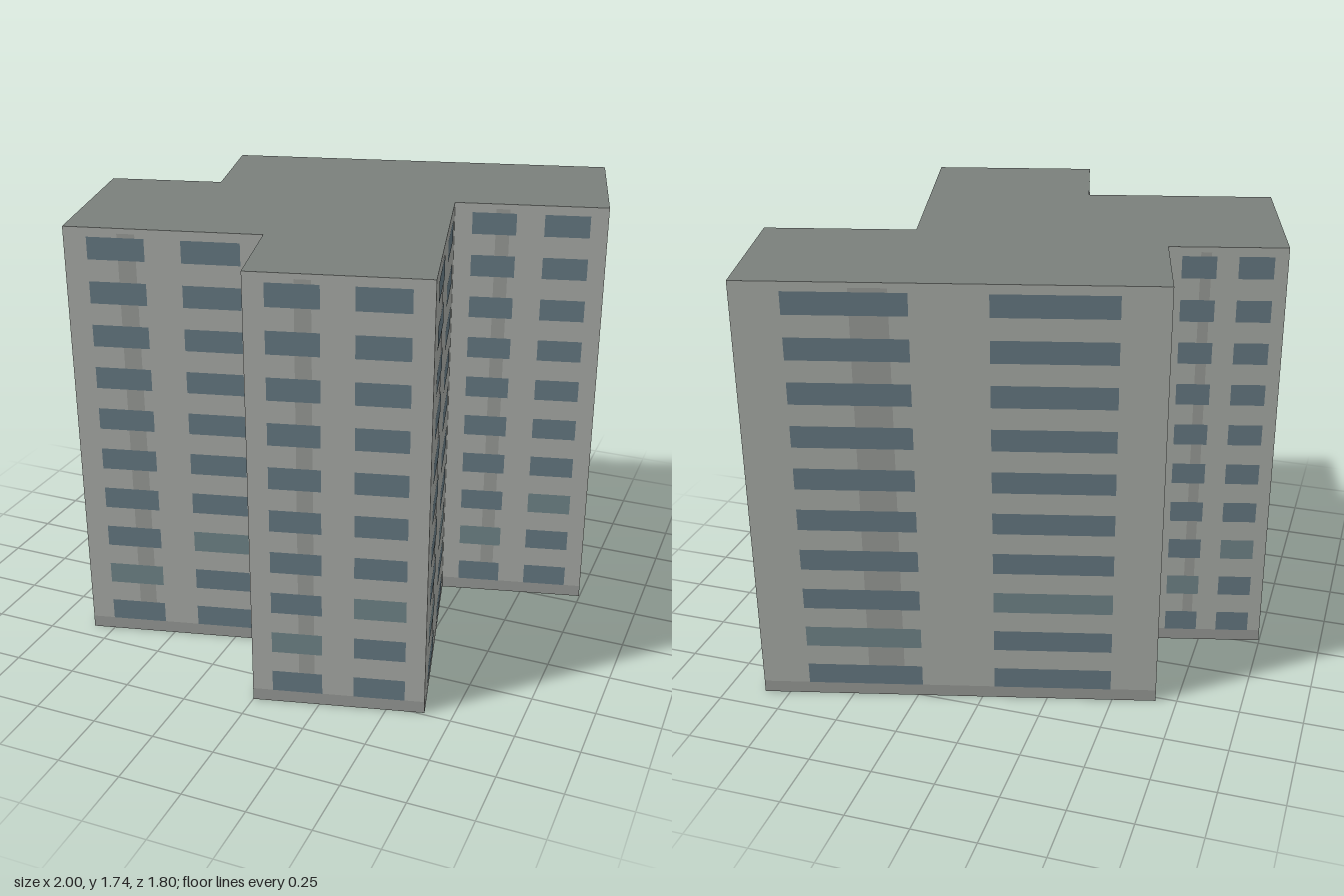
import * as THREE from 'three';
import { mergeGeometries } from 'three/addons/utils/BufferGeometryUtils.js';

const HEIGHT = 1.74, FLOORS = 10, FLOOR_STEP = 0.174, PLINTH = 0.05;

// Footprint corners [x, z], each wall running left to right as seen from outside
const FOOTPRINT = [
  [-0.834, 0.68], [-0.1, 0.5], [0, 0.898], [0.642, 0.738], [0.42, -0.16],
  [0.997, -0.305], [0.848, -0.904], [-0.668, -0.521], [-0.559, -0.088], [-0.997, 0.024],
];

const paint = (color, side = THREE.FrontSide) => new THREE.MeshStandardMaterial({ color, side });
const wallMat = paint(0xaaada8, THREE.DoubleSide);
const roofMat = paint(0x7a807c, THREE.DoubleSide);
const plinthMat = paint(0x999b98);
const stripMat = paint(0x9a9d99);
const glassMat = paint(0x667a83);
const paleGlassMat = paint(0x71868a);

// Flat panel on a wall, from x0..x1 and y0..y1, lifted off the surface by z
function panel(x0, x1, y0, y1, z) {
  return new THREE.PlaneGeometry(x1 - x0, y1 - y0).translate((x0 + x1) / 2, (y0 + y1) / 2, z);
}

function addMesh(parent, name, geometry, material) {
  const mesh = new THREE.Mesh(geometry, material);
  mesh.name = name;
  parent.add(mesh);
}

function createFacade([px, pz], [qx, qz]) {
  const facade = new THREE.Group();
  facade.name = 'facade';
  const length = Math.hypot(qx - px, qz - pz);
  facade.position.set(px, 0, pz);
  facade.rotation.y = Math.atan2(pz - qz, qx - px);

  addMesh(facade, 'wall', panel(0, length, 0, HEIGHT, 0), wallMat);
  addMesh(facade, 'plinth', panel(0, length, 0, PLINTH, 0.001), plinthMat);

  // Narrow walls carry one column of windows, the others two
  const narrow = length < 0.43;
  const columns = narrow ? [[0.23, 0.78]] : [[0.117, 0.407], [0.59, 0.885]];
  const [s0, s1] = narrow ? [0.55, 0.73] : [0.272, 0.362];
  addMesh(facade, 'verticalStrip', panel(s0 * length, s1 * length, PLINTH, 1.72, 0.001), stripMat);

  // Windows, a few of them with paler glass
  const glass = [], paleGlass = [];
  for (let floor = 0; floor < FLOORS; floor++) {
    const y = PLINTH + floor * FLOOR_STEP;
    columns.forEach(([u0, u1], column) => {
      const pale = floor === column + 1;
      (pale ? paleGlass : glass).push(panel(u0 * length, u1 * length, y, y + 0.088, 0.002));
    });
  }
  addMesh(facade, 'windows', mergeGeometries(glass), glassMat);
  addMesh(facade, 'paleWindows', mergeGeometries(paleGlass), paleGlassMat);
  return facade;
}

export function createModel() {
  const building = new THREE.Group();
  building.name = 'apartmentBlock';

  // Walls around the footprint, open underneath
  FOOTPRINT.forEach((corner, i) => {
    building.add(createFacade(corner, FOOTPRINT[(i + 1) % FOOTPRINT.length]));
  });

  // Flat roof
  const outline = new THREE.Shape(FOOTPRINT.map(([x, z]) => new THREE.Vector2(x, -z)));
  const roof = new THREE.ShapeGeometry(outline).rotateX(-Math.PI / 2).translate(0, HEIGHT, 0);
  addMesh(building, 'roof', roof, roofMat);
  return building;
}
